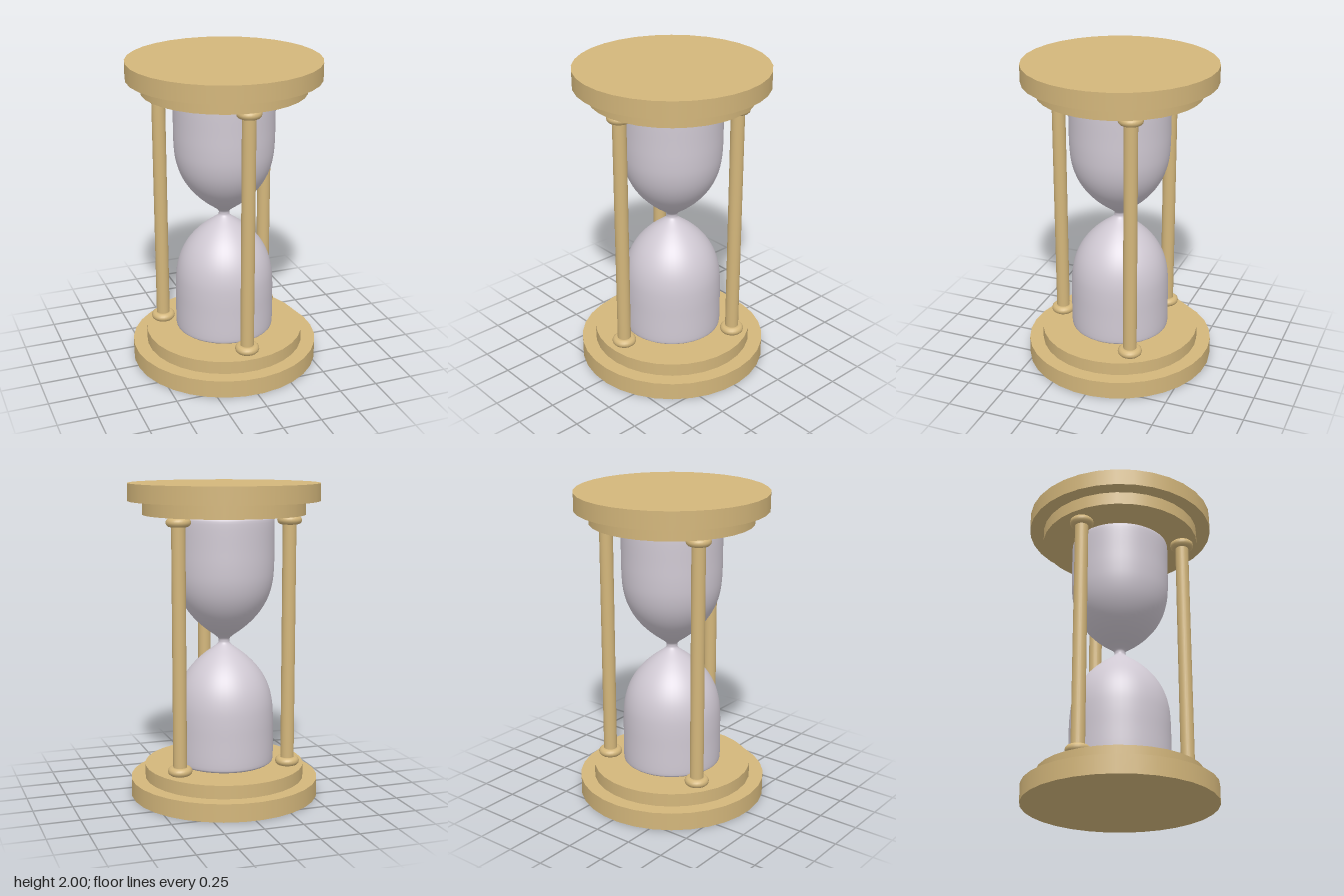
import * as THREE from 'three';

export function createModel() {
  const model = new THREE.Group();
  model.name = 'hourglass';

  const brass = new THREE.MeshStandardMaterial({ color: 0xd3b67b });
  brass.name = 'brass';
  const glass = new THREE.MeshStandardMaterial({ color: 0xd0c9d3 });
  glass.name = 'pale glass';

  const add = (name, geometry, material, x, y, z) => {
    const mesh = new THREE.Mesh(geometry, material);
    mesh.name = name;
    mesh.position.set(x, y, z);
    model.add(mesh);
    return mesh;
  };

  // Stepped round plates at both ends
  const disc = (name, radius, y0, y1) => {
    const geometry = new THREE.CylinderGeometry(radius, radius, y1 - y0, 32);
    geometry.rotateY(THREE.MathUtils.degToRad(3.75));
    add(name, geometry, brass, 0, (y0 + y1) / 2, 0);
  };
  disc('basePlate', 0.604, 0, 0.115);
  disc('baseStep', 0.513, 0.115, 0.2);
  disc('topStep', 0.513, 1.805, 1.89);
  disc('topPlate', 0.604, 1.89, 2);

  // Three posts, each with a ring at both ends
  const postGeometry = new THREE.CylinderGeometry(0.043, 0.043, 1.62, 24);
  const ringGeometry = new THREE.TorusGeometry(0.05, 0.027, 12, 28);
  ringGeometry.rotateX(Math.PI / 2);
  for (let i = 0; i < 3; i++) {
    const angle = (i * Math.PI * 2) / 3;
    const x = 0.414 * Math.sin(angle);
    const z = 0.414 * Math.cos(angle);
    add('post', postGeometry, brass, x, 1.0025, z);
    add('lowerRing', ringGeometry, brass, x, 0.232, z);
    add('upperRing', ringGeometry, brass, x, 1.775, z);
  }

  // Glass: half profile [radius, y] from the foot to the neck, mirrored upwards
  const middle = 1.004;
  const half = [
    [0.285, 0.207], [0.307, 0.217], [0.317, 0.245], [0.317, 0.4], [0.316, 0.52],
    [0.308, 0.62], [0.285, 0.71], [0.245, 0.79], [0.19, 0.86], [0.125, 0.92],
    [0.06, 0.968], [0.038, 0.988],
  ];
  const points = [
    ...half,
    [0.034, middle],
    ...half.map(([r, y]) => [r, 2 * middle - y]).reverse(),
  ].map(([r, y]) => new THREE.Vector2(r, y));
  const outline = new THREE.SplineCurve(points).getPoints(96);
  const profile = [new THREE.Vector2(0, half[0][1]), ...outline, new THREE.Vector2(0, 2 * middle - half[0][1])];
  add('glassBulbs', new THREE.LatheGeometry(profile, 48), glass, 0, 0, 0);

  return model;
}
